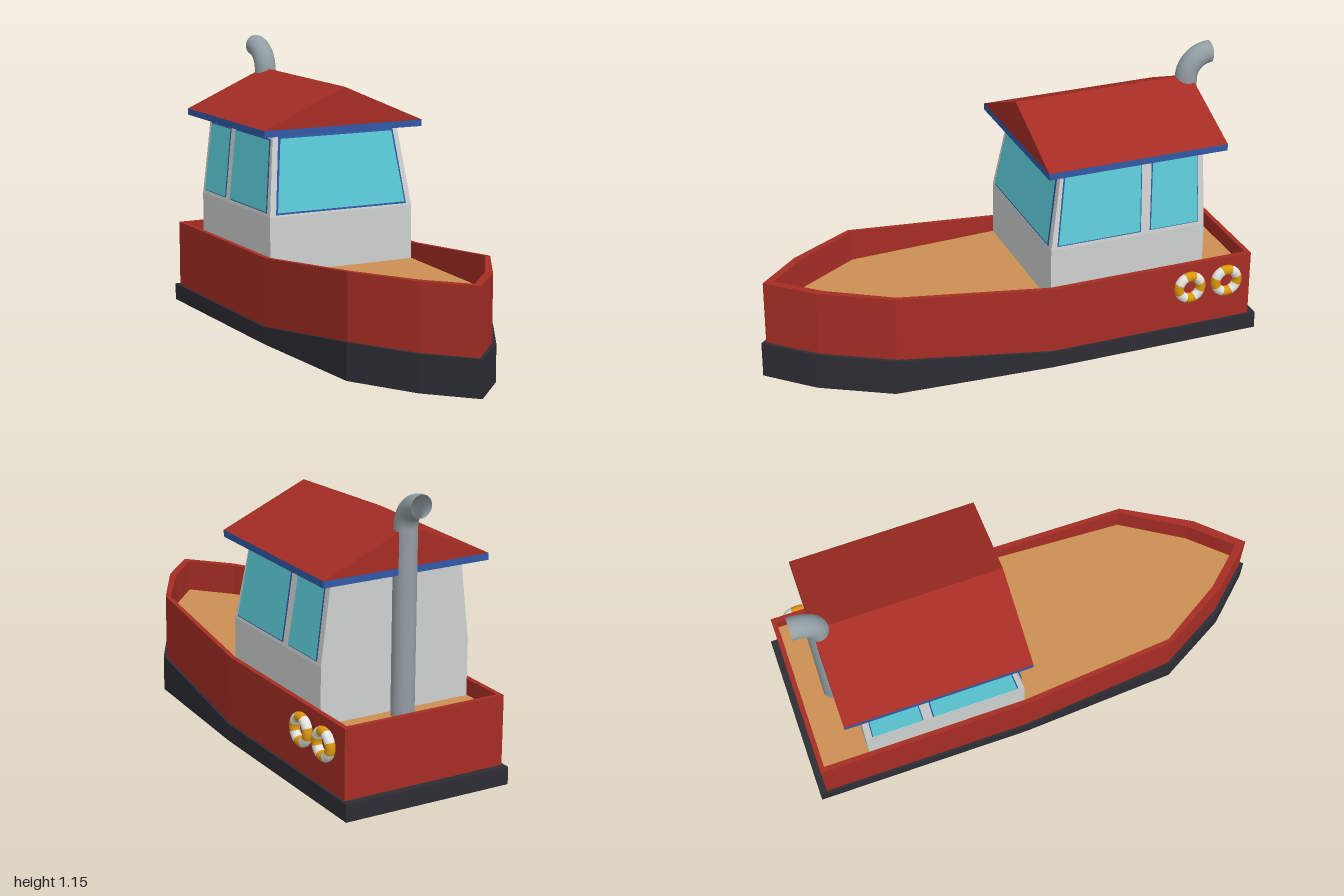
import * as THREE from 'three';

const mat = (name, color, side = THREE.FrontSide) => {
  const m = new THREE.MeshStandardMaterial({ color, side });
  m.name = name;
  return m;
};

// Skin of flat quads joining loops of [x, y, z] points
function loft(loops) {
  const pos = [];
  for (let k = 0; k + 1 < loops.length; k++) {
    const a = loops[k], b = loops[k + 1];
    for (let i = 0; i < a.length; i++) {
      const j = (i + 1) % a.length;
      pos.push(...a[i], ...b[i], ...b[j], ...a[i], ...b[j], ...a[j]);
    }
  }
  const g = new THREE.BufferGeometry();
  g.setAttribute('position', new THREE.Float32BufferAttribute(pos, 3));
  g.computeVertexNormals();
  return g;
}

// Flat four-sided panel
function panel(p) {
  const g = new THREE.BufferGeometry().setFromPoints(
    [0, 1, 2, 0, 2, 3].map((i) => new THREE.Vector3(...p[i])));
  g.computeVertexNormals();
  return g;
}

export function createModel() {
  const red = mat('hull red', 0xa52d24);
  const black = mat('keel black', 0x2c2c34);
  const tan = mat('deck tan', 0xcb9052);
  const white = mat('cabin grey white', 0xcdd1d0);
  const blue = mat('trim blue', 0x3159a6, THREE.DoubleSide);
  const cyan = mat('glass cyan', 0x5bcbd7, THREE.DoubleSide);
  const steel = mat('pipe grey', 0x939fa4, THREE.DoubleSide);
  const orange = mat('ring orange', 0xdb980f);
  const ringWhite = mat('ring white', 0xe6e6e3);

  const model = new THREE.Group();
  model.name = 'tugboat';
  const boat = new THREE.Group();
  boat.name = 'boat';
  boat.position.x = -0.015;
  model.add(boat);
  const add = (name, geo, material, parent = boat) => {
    const m = new THREE.Mesh(geo, material);
    m.name = name;
    parent.add(m);
    return m;
  };

  // Hull plan: half-width and z from stern to bow, mirrored into a loop
  const outline = (half, heights) => {
    const h = half.map(([x, z], i) => [x, Array.isArray(heights) ? heights[i] : heights, z]);
    const mirrored = h.slice(0, -1).reverse().map(([x, y, z]) => [-x, y, z]);
    return [...h, ...mirrored];
  };
  const point = (y) => Array(9).fill([0, y, 0]);
  const keelPlan = [[0.355, -1], [0.355, -0.1], [0.32, 0.55], [0.165, 0.825], [0, 1]];
  const hullPlan = [[0.345, -0.97], [0.345, -0.1], [0.31, 0.54], [0.156, 0.81], [0, 0.98]];
  const deckPlan = [[0.325, -0.95], [0.325, -0.1], [0.293, 0.53], [0.14, 0.78], [0, 0.935]];
  const keelTop = [0.07, 0.07, 0.148, 0.148, 0.148];
  const railTop = [0.35, 0.35, 0.415, 0.415, 0.415];
  const deckY = 0.285;

  add('keel', loft([point(0), outline(keelPlan, 0), outline(keelPlan, keelTop),
    outline(hullPlan, keelTop)]), black);
  add('hull', loft([outline(hullPlan, keelTop), outline(hullPlan, railTop),
    outline(deckPlan, railTop), outline(deckPlan, deckY)]), red);
  add('deck', loft([outline(deckPlan, deckY), point(deckY)]), tan);

  // Cabin with walls leaning inwards above the sill
  const sillY = 0.51, topY = 0.85;
  const lean = (y) => Math.max(0, (y - sillY) / (topY - sillY));
  const halfX = (y) => 0.322 - 0.042 * lean(y);
  const frontZ = (y) => -0.1 - 0.057 * lean(y);
  const section = (y) => [[halfX(y), y, -0.76], [halfX(y), y, frontZ(y)],
    [-halfX(y), y, frontZ(y)], [-halfX(y), y, -0.76]];
  add('cabin', loft([deckY, sillY, topY].map(section)), white);

  // Windows: corners [u, y] on a wall, blue frame behind the glass
  const addWindow = (name, [a, b, c, d, y0, y1], edge, onWall) => {
    const make = (e, out) => panel([[a - e, y0 - e], [b + e, y0 - e], [c + e, y1 + e], [d - e, y1 + e]]
      .map(([u, y]) => onWall(u, y, out)));
    add(name + 'Frame', make(edge, 0.003), blue);
    add(name + 'Glass', make(0, 0.006), cyan);
  };
  addWindow('frontWindow', [-0.288, 0.288, 0.252, -0.252, 0.527, 0.818], 0.008,
    (u, y, out) => [u, y, frontZ(y) + out]);
  for (const s of [1, -1]) {
    const side = s > 0 ? 'left' : 'right';
    const onSide = (u, y, out) => [s * (halfX(y) + out), y, u];
    addWindow(side + 'ForwardWindow', [-0.478, -0.13, -0.168, -0.49, 0.53, 0.812], 0.005, onSide);
    addWindow(side + 'AftWindow', [-0.73, -0.525, -0.54, -0.73, 0.53, 0.81], 0.004, onSide);
  }

  // Gable roof on a blue fascia
  const fascia = add('roofFascia', new THREE.BoxGeometry(0.71, 0.027, 0.757), blue);
  fascia.position.set(0, 0.8515, -0.453);
  const gable = new THREE.Shape([new THREE.Vector2(-0.355, 0.865),
    new THREE.Vector2(0.355, 0.865), new THREE.Vector2(0, 1.02)]);
  const roof = add('roof', new THREE.ExtrudeGeometry(gable, { depth: 0.757, bevelEnabled: false }), red);
  roof.position.z = -0.8315;

  // Exhaust pipe, open at the end and bent aft
  const path = new THREE.CurvePath();
  const V = (y, z) => new THREE.Vector3(0, y, z);
  path.add(new THREE.LineCurve3(V(deckY, -0.812), V(1.01, -0.812)));
  path.add(new THREE.CubicBezierCurve3(V(1.01, -0.812), V(1.065, -0.812), V(1.11, -0.857), V(1.11, -0.912)));
  add('exhaustPipe', new THREE.TubeGeometry(path, 64, 0.045, 24), steel);

  // Life rings on the left side, eight alternating segments
  for (const z of [-0.69, -0.853]) {
    const ring = new THREE.Group();
    ring.name = 'lifeRing';
    ring.position.set(0.365, 0.255, z);
    ring.rotation.y = Math.PI / 2;
    boat.add(ring);
    for (let i = 0; i < 8; i++) {
      const seg = add('ringSegment', new THREE.TorusGeometry(0.048, 0.02, 12, 6, Math.PI / 4),
        i % 2 ? ringWhite : orange, ring);
      seg.rotation.z = (i - 0.5) * Math.PI / 4;
    }
  }
  return model;
}
